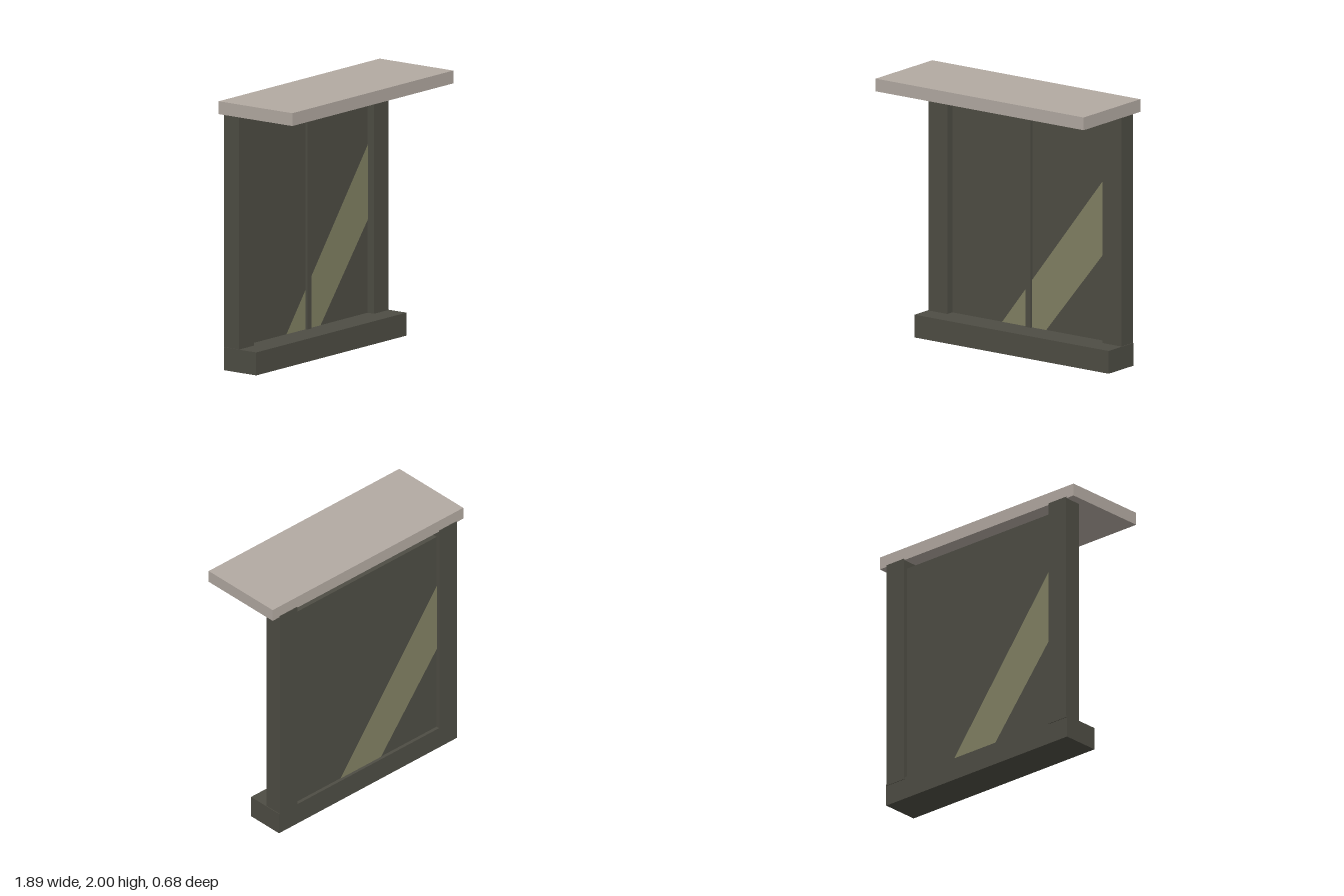
import * as THREE from 'three';

const paint = (name, color) => {
  const m = new THREE.MeshStandardMaterial({ color });
  m.name = name;
  return m;
};

export function createModel() {
  const frame = paint('dark frame', 0x4e4d44);
  const stone = paint('pale roof', 0xb3aaa2);
  const glint = paint('glass glint', 0x828163);
  const group = new THREE.Group();
  group.name = 'shelter';

  // Box given by its lower and upper corners
  const box = (name, material, [x0, y0, z0], [x1, y1, z1]) => {
    const mesh = new THREE.Mesh(new THREE.BoxGeometry(x1 - x0, y1 - y0, z1 - z0), material);
    mesh.position.set((x0 + x1) / 2, (y0 + y1) / 2, (z0 + z1) / 2);
    mesh.name = name;
    group.add(mesh);
  };

  box('roof', stone, [-0.945, 1.905, -0.336], [0.945, 2, 0.341]);
  box('base', frame, [-0.882, 0, -0.336], [0.882, 0.17, -0.04]);

  // Side posts, slightly proud of the base and roof at the back
  box('leftPost', frame, [0.705, 0.155, -0.341], [0.877, 1.915, -0.2]);
  box('rightPost', frame, [-0.877, 0.155, -0.341], [-0.705, 1.915, -0.2]);

  // Recessed pane with a centre bar on the front
  const front = -0.26, back = -0.31;
  box('pane', frame, [-0.71, 0.16, back], [0.71, 1.845, front]);
  box('centreBar', frame, [-0.025, 0.16, front - 0.01], [0.022, 1.846, -0.24]);

  // Diagonal glint on both faces of the pane
  const band = new THREE.ShapeGeometry(new THREE.Shape([
    new THREE.Vector2(-0.25, 0.17),
    new THREE.Vector2(0.15, 0.17),
    new THREE.Vector2(0.705, 0.86),
    new THREE.Vector2(0.705, 1.415),
  ]));
  const frontGlint = new THREE.Mesh(band, glint);
  frontGlint.name = 'frontGlint';
  frontGlint.position.z = front + 0.003;
  const backGlint = new THREE.Mesh(band, glint);
  backGlint.name = 'backGlint';
  backGlint.position.z = back - 0.003;
  backGlint.rotation.y = Math.PI;
  group.add(frontGlint, backGlint);

  return group;
}
